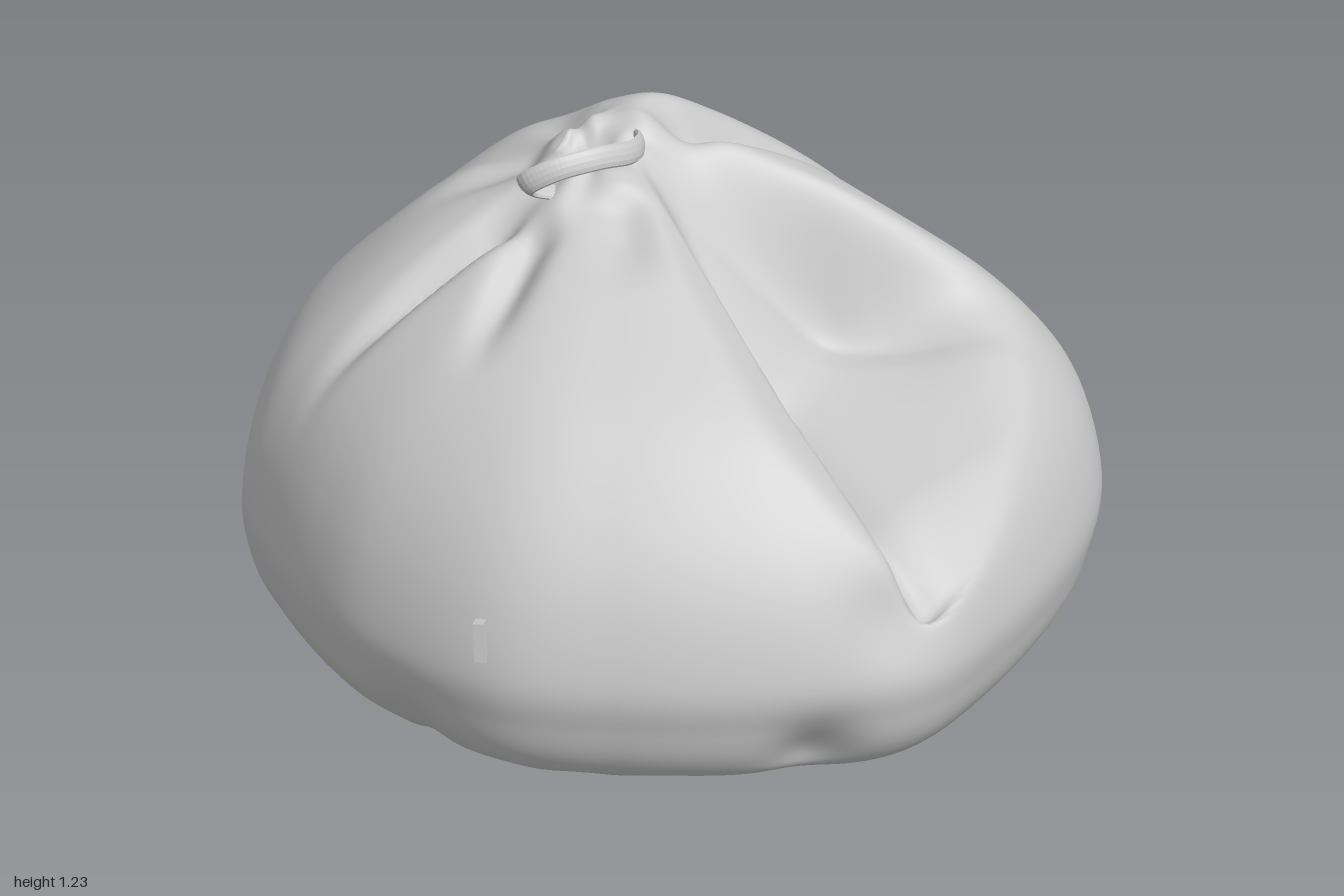
import * as THREE from 'three';

const v2 = (a) => new THREE.Vector2(a[0], a[1]);
const smooth = (x, a, b) => THREE.MathUtils.smoothstep(x, a, b);
const bell = (d, w) => Math.exp(-(d * d) / (w * w));
const softMin = (a, b, k) => (a + b - Math.sqrt((a - b) ** 2 + k)) / 2;

// plan outline at the widest height (x, z), from the back round by the left side
const OUTLINE = [[0, -0.95], [0.37, -0.91], [0.6, -0.74], [0.8, -0.52], [0.95, -0.33], [1, -0.1], [0.96, 0.15],
  [0.8, 0.54], [0.62, 0.8], [0.38, 0.9], [0.15, 0.94], [-0.1, 0.94], [-0.4, 0.89], [-0.7, 0.66], [-0.84, 0.46],
  [-0.95, 0.22], [-1, 0.05], [-0.95, -0.27], [-0.79, -0.53], [-0.6, -0.78], [-0.36, -0.88]];

// levels from the tied mouth down to the underside: scale, height, centre x, centre z
const LEVELS = [[0.001, 1.08, -0.2, -0.15], [0.05, 1.1, -0.2, -0.15], [0.09, 1.125, -0.18, -0.15],
  [0.14, 1.12, -0.15, -0.15], [0.26, 1.085, -0.11, -0.16], [0.46, 1.0, -0.075, -0.125], [0.69, 0.85, -0.04, -0.06],
  [0.85, 0.69, -0.03, -0.04], [0.955, 0.51, -0.01, -0.02], [1, 0.31, 0, 0], [0.985, 0.18, 0, 0], [0.945, 0.09, 0, 0.01],
  [0.88, 0.032, 0, 0.02], [0.78, 0.01, 0, 0.02], [0.6, 0.025, 0, -0.02], [0.4, 0.045, 0, -0.09],
  [0.33, 0.025, 0, -0.11], [0.29, 0.015, 0, -0.11], [0.001, 0.015, 0, -0.11]];

// creases running out from the mouth: start, end, depth, width
const CREASES = [
  [[-0.3, -0.02], [-0.92, 0.25], 0.08, 0.04], [[-0.28, 0.02], [-0.48, 0.46], 0.06, 0.05],
  [[-0.08, -0.21], [0.48, -0.64], 0.12, 0.07], [[-0.2, -0.25], [-0.32, -0.5], 0.035, 0.06],
  [[-0.28, -0.18], [-0.62, -0.2], 0.035, 0.07], [[-0.12, -0.02], [-0.08, 0.3], 0.04, 0.07],
  [[-0.26, -0.22], [-0.55, -0.42], 0.03, 0.06], [[0.36, 0.42], [0.5, 0.55], 0.04, 0.04],
  [[0.4, -0.1], [0.85, -0.17], 0.05, 0.06]];

// dents pressed into the lower wall: x, y, z, radius, depth
const DENTS = [[0.36, 0.08, 0.9, 0.1, 0.06], [0.9, 0.1, -0.12, 0.14, 0.04], [0.85, 0.2, -0.33, 0.13, 0.04],
  [-0.6, 0.06, 0.7, 0.1, 0.03], [0.1, 0.05, -0.92, 0.1, 0.03], [-0.85, 0.05, -0.3, 0.1, 0.03],
  [0.55, 0.42, 0.8, 0.12, 0.03]];

function creaseDepth(x, z, [a, b, depth, width]) {
  const dx = b[0] - a[0], dz = b[1] - a[1], len2 = dx * dx + dz * dz;
  const t = ((x - a[0]) * dx + (z - a[1]) * dz) / len2;
  if (t < 0 || t > 1) return 0;
  const d = Math.abs((x - a[0]) * dz - (z - a[1]) * dx) / Math.sqrt(len2);
  return depth * bell(d, width) * smooth(t, 0, 0.2) * (1 - smooth(t, 0.35, 1));
}

// front lobe falling away to its lip, then the slumped valley and low cushion beyond it
function slump(x, y, z) {
  const px = x + 0.07, pz = z + 0.16;
  const fromFront = 0.84 * px - 0.54 * pz - 0.18 * Math.max(z - 0.45, 0);
  const fromBack = pz - 0.04 * px;
  const ramp = 1.12 - 1.15 * Math.hypot(px, pz);
  const cushion = 0.635 - 0.17 * Math.max(z, 0) - 0.15 * smooth(x + z, 1, 1.55)
    + 0.06 * bell(x - 0.75, 0.18) * bell(z + 0.1, 0.22) - 0.05 * bell(fromFront, 0.1);
  const valley = softMin(y, -softMin(-ramp, -cushion, 0.002), 0.001);
  const lobe = softMin(y, 1.06 - 0.95 * x, 0.001);
  const target = THREE.MathUtils.lerp(lobe, valley, smooth(fromFront, -0.05, 0.05));
  return y + (target - y) * smooth(fromBack, -0.1, 0.08) * smooth(y, 0.35, 0.5);
}

function shapePoint(p, scale, lower) {
  const a = Math.atan2(p.z, p.x);
  if (!lower) {
    // raised ridge behind the mouth, gathers and creases
    const top = smooth(p.y, 0.4, 0.65);
    p.y += 0.085 * bell(Math.hypot(p.x + 0.03, p.z + 0.32), 0.18);
    p.y -= 0.05 * top * bell(Math.hypot(p.x - 0.6, p.z + 0.5), 0.25);
    const b = Math.atan2(p.z + 0.15, p.x + 0.18);
    p.y += 0.008 * Math.sin(7 * b + Math.sin(3 * b)) * smooth(scale, 0.03, 0.12) * (1 - smooth(scale, 0.2, 0.5));
    for (const c of CREASES) p.y -= top * creaseDepth(p.x, p.z, c);
    p.y = slump(p.x, p.y, p.z);
  } else {
    // uneven puckers drawn in towards the base panel
    const fold = Math.sin(13 * a + 2.5 * Math.sin(2 * a) + 2 * scale)
      + 0.7 * Math.sin(23 * a + 1.3 + 5 * scale + 2 * Math.sin(3 * a));
    const band = smooth(scale, 0.31, 0.42) * (1 - smooth(scale, 0.7, 0.93));
    p.y += 0.026 * (fold + 0.6) * band * (0.8 + 0.4 * Math.sin(3 * a + 1));
  }
  for (const [x, y, z, r, depth] of DENTS) {
    const k = depth * bell(Math.hypot(p.x - x, p.y - y, p.z - z), r);
    p.x -= k * Math.cos(a);
    p.z -= k * Math.sin(a);
  }
  p.y = Math.max(p.y, 0.005);
}

function bagGeometry() {
  const around = 288, down = 150;
  const outline = new THREE.CatmullRomCurve3(OUTLINE.map(([x, z]) => new THREE.Vector3(x, 0, z)), true)
    .getSpacedPoints(around);
  const profile = new THREE.SplineCurve(LEVELS.map(([s, y]) => v2([s, y])));
  const centre = new THREE.SplineCurve(LEVELS.map(([, , x, z]) => v2([x, z])));
  const pos = [], index = [];
  for (let j = 0; j <= down; j++) {
    const t = j / down, sy = profile.getPoint(t), c = centre.getPoint(t);
    const lower = t > 9 / (LEVELS.length - 1);
    for (let i = 0; i < around; i++) {
      const o = outline[i];
      const p = new THREE.Vector3(c.x + sy.x * o.x, sy.y, c.y + sy.x * o.z);
      shapePoint(p, sy.x, lower);
      pos.push(p.x, p.y, p.z);
      if (j === down) continue;
      const a = j * around + i, b = j * around + (i + 1) % around;
      index.push(a, b, a + around, b, b + around, a + around);
    }
  }
  const g = new THREE.BufferGeometry();
  g.setAttribute('position', new THREE.Float32BufferAttribute(pos, 3));
  g.setIndex(index);
  g.computeVertexNormals();
  return g;
}

// flat strap looped over the tied mouth, standing on its edge
function strapGeometry() {
  const path = new THREE.CatmullRomCurve3([[-0.12, 1.11, -0.25], [-0.08, 1.145, -0.17], [-0.1, 1.18, -0.06],
    [-0.17, 1.21, 0.02], [-0.27, 1.2, 0.06], [-0.34, 1.155, 0.05], [-0.33, 1.12, 0.01], [-0.25, 1.08, -0.04]]
    .map((p) => new THREE.Vector3(...p)));
  const section = new THREE.Shape();
  section.absellipse(0, 0, 0.028, 0.011, 0, Math.PI * 2);
  return new THREE.ExtrudeGeometry(section, { steps: 60, curveSegments: 6, bevelEnabled: false, extrudePath: path });
}

export function createModel() {
  const model = new THREE.Group();
  const material = new THREE.MeshStandardMaterial({ color: 0xcccccc });
  const add = (name, geometry) => {
    const mesh = new THREE.Mesh(geometry, material);
    mesh.name = name;
    model.add(mesh);
    return mesh;
  };
  add('beanBag', bagGeometry());
  add('strap', strapGeometry());

  // small sewn-in tab on the front
  const tab = add('sideTab', new THREE.BoxGeometry(0.026, 0.095, 0.04));
  tab.position.set(-0.425, 0.4, 0.868);
  tab.rotation.set(-0.15, -0.2, 0.06);
  return model;
}
